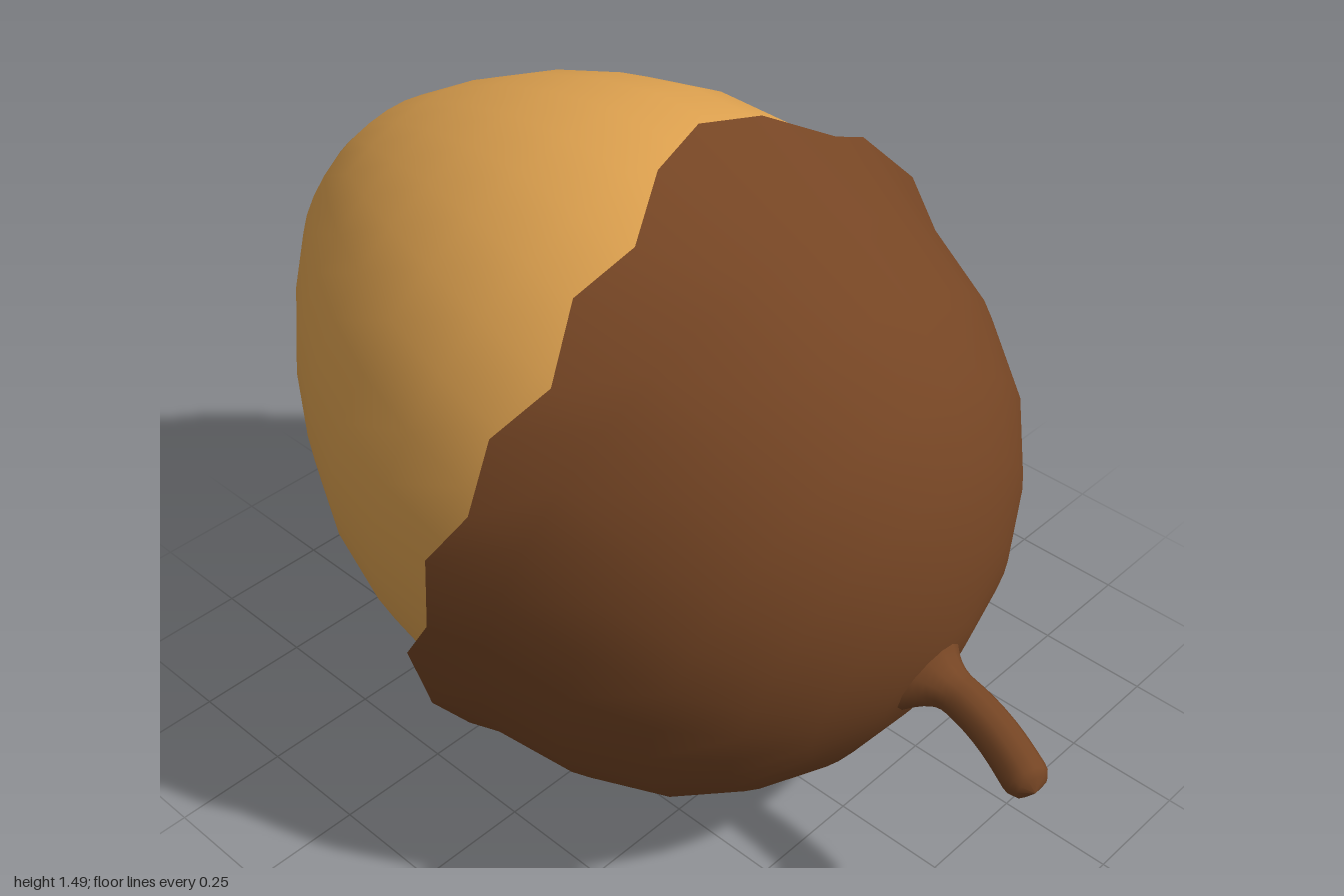
import * as THREE from 'three';

const SIDES = 32;
const SQUASH = 0.95; // slightly narrower sideways than it is tall

// Skin a stack of rings; each ring is a function k -> [distance along axis, radius]
function loft(rings) {
  const pos = [], idx = [];
  rings.forEach((ring) => {
    for (let k = 0; k < SIDES; k++) {
      const a = (k / SIDES) * Math.PI * 2;
      const [s, r] = ring(k);
      pos.push(SQUASH * r * Math.cos(a), s, r * Math.sin(a));
    }
  });
  for (let i = 0; i < rings.length - 1; i++) {
    for (let k = 0; k < SIDES; k++) {
      const b0 = i * SIDES + k, b1 = i * SIDES + ((k + 1) % SIDES);
      const t0 = b0 + SIDES, t1 = b1 + SIDES;
      idx.push(b0, t0, t1, b0, t1, b1);
    }
  }
  const g = new THREE.BufferGeometry();
  g.setAttribute('position', new THREE.Float32BufferAttribute(pos, 3));
  g.setIndex(idx);
  g.computeVertexNormals();
  return g;
}

const round = (s, r) => () => [s, r];

// Jagged rim height: small teeth on the sides, long points at top and bottom
const TEETH = [0.685, 0.73, 0.688, 0.73, 0.692, 0.772, 0.76, 0.85, 0.888];
function rim(k) {
  const m = k % 16;
  const s = TEETH[m <= 8 ? m : 16 - m];
  return [s, 0.755 + 0.01 * ((s - 0.685) / 0.2)];
}

// Stem: a bent tube, flared into the cap and rounded at the free end
function stemGeometry() {
  const curve = new THREE.CatmullRomCurve3([
    new THREE.Vector3(0, 0.52, 0.67),
    new THREE.Vector3(0, 0.5, 0.78),
    new THREE.Vector3(-0.015, 0.478, 0.87),
    new THREE.Vector3(-0.058, 0.443, 0.993),
  ]);
  const steps = 24, sides = 12;
  const g = new THREE.TubeGeometry(curve, steps, 1, sides, false);
  const p = g.attributes.position, v = new THREE.Vector3();
  for (let i = 0; i <= steps; i++) {
    const t = i / steps, c = curve.getPointAt(t);
    const flare = 0.07 * Math.pow(Math.max(0, 1 - t / 0.28), 2);
    const end = t > 0.88 ? Math.sqrt(Math.max(0, 1 - ((t - 0.88) / 0.12) ** 2)) : 1;
    const radius = (0.043 + flare + 0.004 * t) * end;
    for (let j = 0; j <= sides; j++) {
      const n = i * (sides + 1) + j;
      v.fromBufferAttribute(p, n).sub(c).multiplyScalar(radius).add(c);
      p.setXYZ(n, v.x, v.y, v.z);
    }
  }
  g.computeVertexNormals();
  return g;
}

export function createModel() {
  const model = new THREE.Group();
  model.name = 'acorn';
  const brown = new THREE.MeshStandardMaterial({ color: 0x754524, side: THREE.DoubleSide });
  const tan = new THREE.MeshStandardMaterial({ color: 0xe0a350 });
  const add = (parent, name, geometry, material) => {
    const mesh = new THREE.Mesh(geometry, material);
    mesh.name = name;
    parent.add(mesh);
  };

  // Body built along +y from the stem end, then laid down with its tip at the back
  const body = new THREE.Group();
  body.name = 'body';
  body.position.set(0, 0.507, 0.695);
  body.rotation.x = THREE.MathUtils.degToRad(-73.6);
  model.add(body);

  // Nut
  add(body, 'nut', loft([
    [0.45, 0.6], [0.6, 0.66], [0.76, 0.692], [0.92, 0.688], [1.09, 0.65], [1.25, 0.577],
    [1.39, 0.49], [1.52, 0.383], [1.64, 0.262], [1.725, 0.13], [1.75, 0.06], [1.757, 0.0005],
  ].map(([s, r]) => round(s, r))), tan);

  // Cap shell
  const shell = [
    [0, 0.0005], [0.01, 0.13], [0.058, 0.297], [0.14, 0.437],
    [0.252, 0.558], [0.408, 0.65], [0.585, 0.7],
  ].map(([s, r]) => round(s, r));
  add(body, 'cap', loft([...shell, rim]), brown);

  // Inner face of the rim, sloping down to the nut
  add(body, 'capLip', loft([rim, round(0.64, 0.665)]), brown);

  add(model, 'stem', stemGeometry(), brown);
  return model;
}
